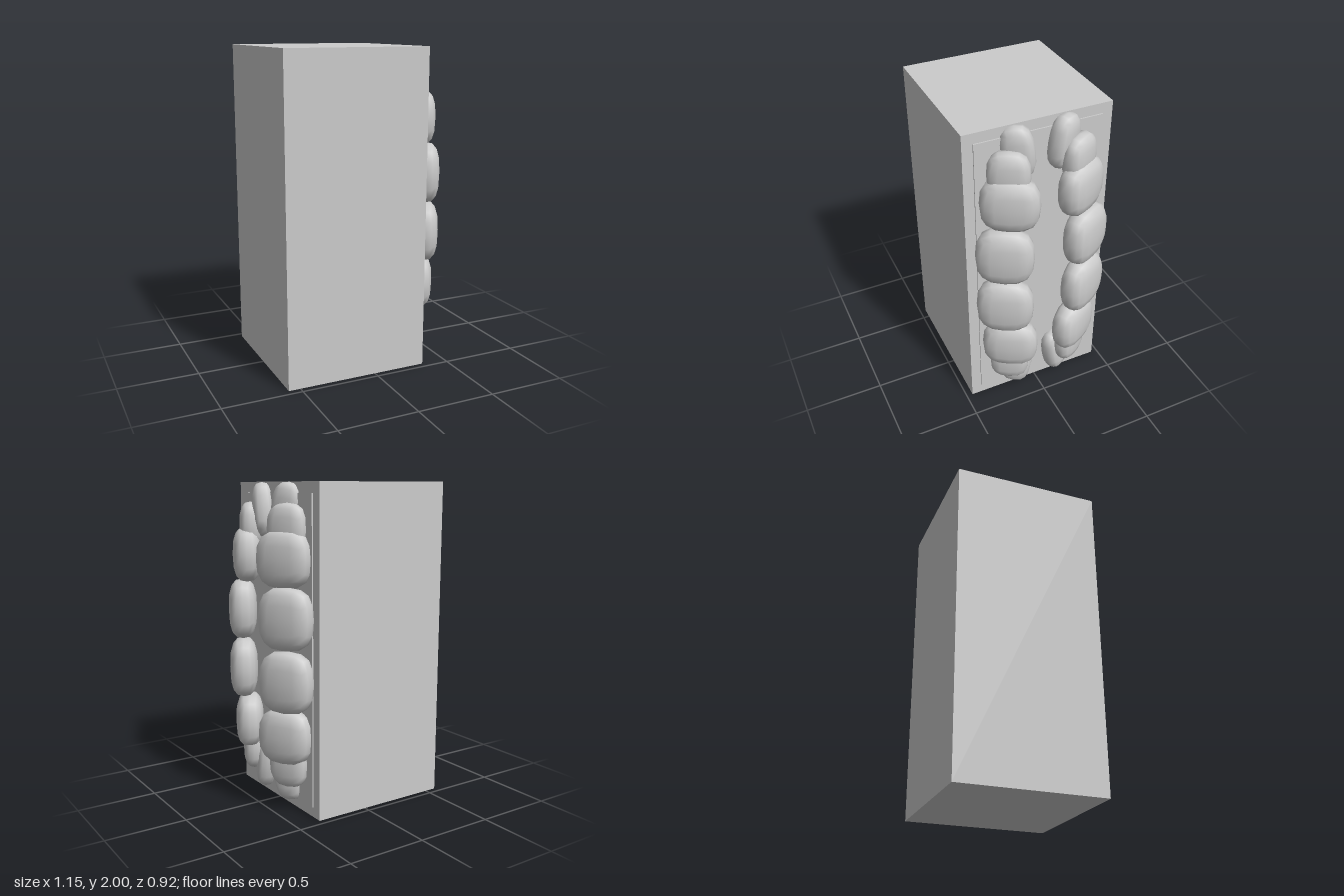
import * as THREE from 'three';
import { mergeVertices } from 'three/addons/utils/BufferGeometryUtils.js';

const material = new THREE.MeshStandardMaterial({ color: 0xcccccc });

// Pillow shape: a subdivided cube pulled onto a superellipsoid, smooth shaded
function pillowGeometry(hx, hy, hz, p = 2.7) {
  let geo = new THREE.BoxGeometry(2, 2, 2, 4, 4, 4);
  geo.deleteAttribute('uv');
  geo.deleteAttribute('normal');
  geo = mergeVertices(geo);
  const pos = geo.attributes.position;
  const v = new THREE.Vector3();
  for (let i = 0; i < pos.count; i++) {
    v.fromBufferAttribute(pos, i);
    const sum = Math.abs(v.x) ** p + Math.abs(v.y) ** p + Math.abs(v.z) ** p;
    v.divideScalar(sum ** (1 / p));
    pos.setXYZ(i, v.x * hx, v.y * hy, v.z * hz);
  }
  geo.computeVertexNormals();
  return geo;
}

function addBox(group, name, size, position) {
  const mesh = new THREE.Mesh(new THREE.BoxGeometry(...size), material);
  mesh.name = name;
  mesh.position.set(...position);
  group.add(mesh);
}

export function createModel() {
  const model = new THREE.Group();
  model.name = 'paddedBlock';

  // Main block and the thin raised panel on its +x side
  addBox(model, 'block', [0.915, 2, 0.92], [-0.1175, 1, 0]);
  addBox(model, 'panel', [0.03, 1.87, 0.79], [0.333, 1, 0]);

  // Pads of the upper half: centre, half sizes (thickness, height, length), lean
  const pads = [
    { name: 'middlePad', at: [0.447, 1.21, 0.265], half: [0.09, 0.19, 0.175], lean: 0 },
    { name: 'outerPad', at: [0.432, 1.555, 0.225], half: [0.09, 0.172, 0.175], lean: 0 },
    { name: 'smallPad', at: [0.406, 1.73, 0.22], half: [0.07, 0.15, 0.125], lean: 0 },
    { name: 'endPad', at: [0.355, 1.832, 0.143], half: [0.07, 0.168, 0.1], lean: 0.14 },
  ];
  const midY = 1.02;

  // Mirror each pad across both the vertical and the horizontal middle
  const padGroup = new THREE.Group();
  padGroup.name = 'pads';
  padGroup.position.z = -0.004;
  for (const { name, at, half, lean } of pads) {
    const geometry = pillowGeometry(...half);
    for (const sy of [1, -1]) {
      for (const sz of [1, -1]) {
        const pad = new THREE.Mesh(geometry, material);
        pad.name = `${name}${sy > 0 ? 'Upper' : 'Lower'}${sz > 0 ? 'Front' : 'Back'}`;
        pad.position.set(at[0], midY + sy * (at[1] - midY), sz * at[2]);
        pad.rotation.set(lean * sy * sz, -0.51 * sz, 0);
        padGroup.add(pad);
      }
    }
  }
  model.add(padGroup);
  return model;
}
